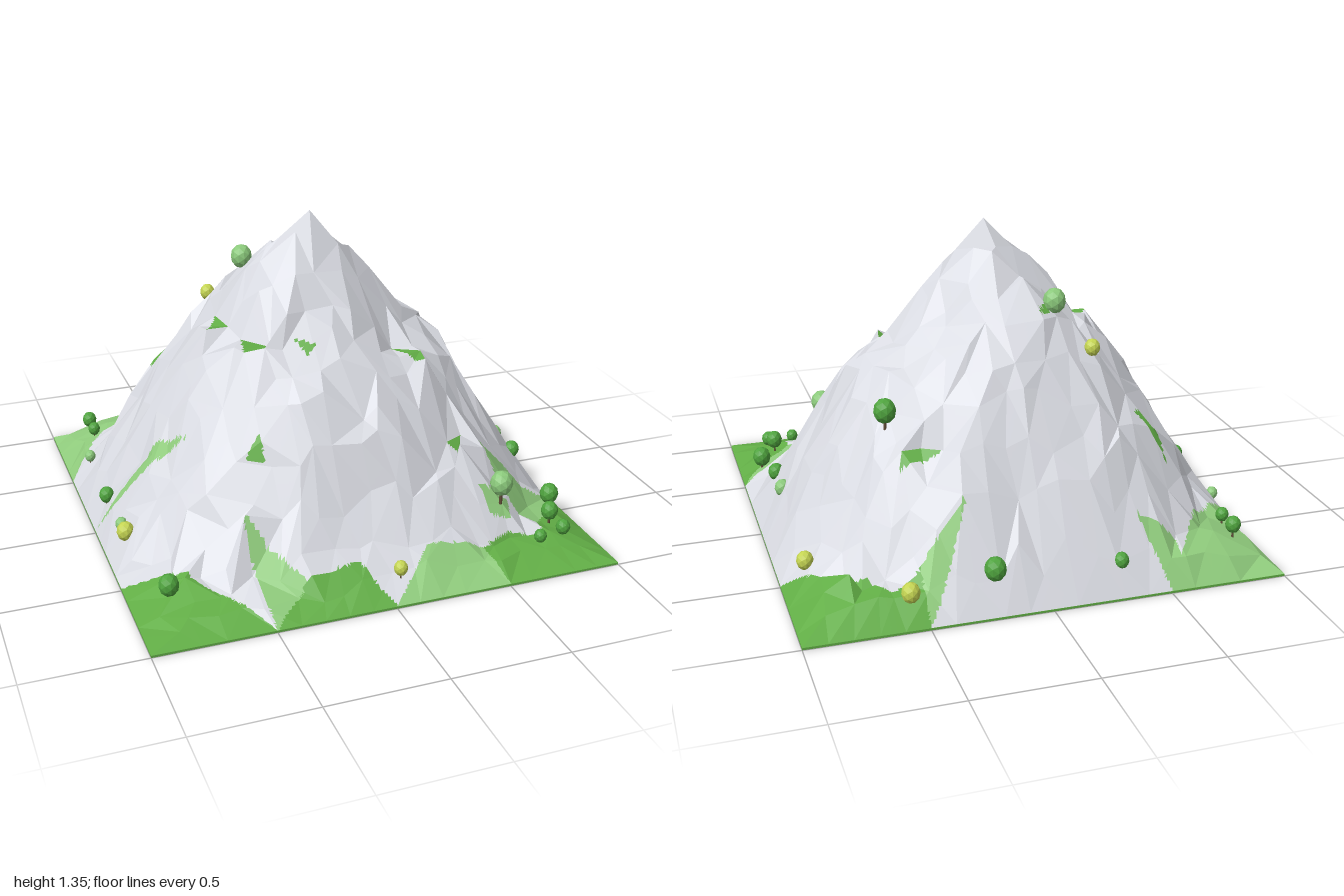
import * as THREE from 'three';

const material = (name, color) => {
  const m = new THREE.MeshStandardMaterial({ color, flatShading: true });
  m.name = name;
  return m;
};

// Small seeded random generator
let seed = 11;
const random = () => {
  seed = (seed * 16807) % 2147483647;
  return seed / 2147483647;
};
const spread = (amount) => (random() * 2 - 1) * amount;

// Slope heights at fixed radii, one row per 45 degrees, from +x towards +z
const RADII = [0, 0.2, 0.4, 0.6, 0.8, 1, 1.42];
const SLOPES = [
  [1.35, 1.14, 0.9, 0.74, 0.38, 0.05, 0.01],
  [1.35, 1.05, 0.78, 0.62, 0.36, 0.12, 0.01],
  [1.35, 1.0, 0.84, 0.6, 0.2, 0.02, 0.01],
  [1.35, 1.1, 0.89, 0.71, 0.4, 0.11, 0.01],
  [1.35, 1.17, 0.94, 0.69, 0.34, 0.05, 0.01],
  [1.35, 1.17, 1.0, 0.78, 0.5, 0.17, 0.01],
  [1.35, 1.19, 1.02, 0.75, 0.38, 0.05, 0.01],
  [1.35, 1.13, 0.9, 0.72, 0.47, 0.15, 0.01],
];
const PEAK_Z = -0.03;

function height(x, z) {
  const r = Math.min(Math.hypot(x, z - PEAK_Z), 1.419);
  const turn = ((Math.atan2(z - PEAK_Z, x) / (Math.PI / 4)) + 8) % 8;
  const a = Math.floor(turn) % 8;
  let k = 0;
  while (r > RADII[k + 1]) k++;
  const t = (r - RADII[k]) / (RADII[k + 1] - RADII[k]);
  const along = (row) => THREE.MathUtils.lerp(row[k], row[k + 1], t);
  const h = THREE.MathUtils.lerp(along(SLOPES[a]), along(SLOPES[(a + 1) % 8]), turn - Math.floor(turn));
  const edge = 1 - Math.max(Math.abs(x), Math.abs(z));
  return Math.max(0.01, Math.min(h, 0.01 + 1.8 * edge));
}

// Meadow outlines and grassy ledges seen from above, as x, z pairs
const LIGHT = [
  [-1, -1, -0.5, -1, -0.41, -0.82, -0.57, -0.85, -0.57, -0.92, -0.72, -0.7, -1, -0.5],
  [0.5, -1, 0.5, -0.84, 0.29, -0.77],
  [1, 0.5, 0.57, 0.51, 0.68, 0.66, 0.76, 0.72],
  [0, 1, 0.2, 0.83, 0.45, 0.84, 0.5, 1],
  [-0.53, 0.64, -0.5, 1, -0.33, 0.86],
  [-1, 0, -0.74, 0.11, -0.65, 0.26],
  [0.51, 0.66, 0.65, 0.66, 0.62, 0.74, 0.53, 0.74],
];
const MID = [
  [0.5, -1, 1, -1, 1, -0.5, 0.8, -0.75, 0.7, -0.79, 0.62, -0.87, 0.5, -0.84],
  [1, 0.5, 0.76, 0.72, 0.76, 0.8, 0.6, 0.78, 0.45, 0.84, 0.5, 1, 1, 1],
  [0, 1, -0.1, 0.84, -0.33, 0.86, -0.5, 1],
  [-1, 0.5, -0.77, 0.65, -0.72, 0.73, -0.5, 1, -1, 1],
  [-0.62, -0.62, -0.5, -0.535, -0.58, -0.5],
  [-0.18, 0.27, -0.09, 0.32, -0.14, 0.34],
  [-0.18, -0.39, -0.11, -0.41, -0.16, -0.36],
  [-0.47, 0.51, -0.4, 0.49, -0.4, 0.55],
];
// Level ledges: height and outline
const LEDGES = [
  { y: 0.565, outline: [0.34, -0.605, 0.52, -0.605, 0.5, -0.565, 0.42, -0.56] },
  { y: 0.89, outline: [-0.4, -0.12, -0.385, 0.02, -0.48, 0.02] },
  { y: 0.865, outline: [-0.36, 0.12, -0.27, 0.24, -0.39, 0.26] },
  { y: 0.765, outline: [0.29, 0.2, 0.4, 0.26, 0.38, 0.36] },
  { y: 0.445, outline: [0.42, 0.52, 0.5, 0.48, 0.46, 0.56] },
];
// Landmark points of the terrain as x, y, z: summit, shoulders, spurs, hollows
const PINS = [
  [0, 1.35, PEAK_Z], [0.27, 1.07, -0.02], [0.2, 0.8, 0.3], [0.6, 0.74, 0.01],
  [-0.02, 1.25, -0.14], [-0.48, 0.86, -0.1], [-0.52, 0.34, 0.66], [0.58, 0.4, 0.54],
  [0.6, 0.21, 0.7], [0.77, 0.17, -0.78], [-0.78, 0.12, 0.68],
];
for (const { y, outline } of LEDGES) {
  for (let i = 0; i < outline.length; i += 2) PINS.push([outline[i], y, outline[i + 1]]);
}

function inside(p, x, z) {
  let hit = false;
  for (let i = 0, j = p.length - 2; i < p.length; j = i, i += 2) {
    if (p[i + 1] > z !== p[j + 1] > z &&
      x < ((p[j] - p[i]) * (z - p[i + 1])) / (p[j + 1] - p[i + 1]) + p[i]) hit = !hit;
  }
  return hit;
}

function ground(x, z) {
  if (LIGHT.some((p) => inside(p, x, z))) return 'lightGrass';
  const mid = MID.some((p) => inside(p, x, z)) || LEDGES.some((l) => inside(l.outline, x, z));
  return mid ? 'grass' : 'rock';
}

// Jittered terrain grid; each facet is subdivided so the meadow edges stay crisp
function buildTerrain() {
  const N = 20, K = 9, grid = [];
  for (let i = 0; i <= N; i++) {
    grid.push([]);
    for (let j = 0; j <= N; j++) {
      let x = -1 + (2 * i) / N, z = -1 + (2 * j) / N, y = 0.01;
      if (Math.min(i, j, N - i, N - j) > 0) {
        x += spread(0.036);
        z += spread(0.036);
        y = height(x, z);
        const rough = Math.min(0.034, y * 0.1, Math.hypot(x, z) * 0.15);
        y = Math.max(0.012, y + spread(rough));
      }
      grid[i].push(new THREE.Vector3(x, y, z));
    }
  }
  for (const [x, y, z] of PINS) {
    grid[Math.round(((x + 1) * N) / 2)][Math.round(((z + 1) * N) / 2)].set(x, y, z);
  }
  const lists = { rock: [], grass: [], lightGrass: [] };
  const facet = (a, b, c) => {
    const at = (u, v) => new THREE.Vector3().copy(a)
      .addScaledVector(b, u / K).addScaledVector(c, v / K).addScaledVector(a, -(u + v) / K);
    const put = (...p) => {
      const kind = ground((p[0].x + p[1].x + p[2].x) / 3, (p[0].z + p[1].z + p[2].z) / 3);
      p.forEach((q) => lists[kind].push(q.x, q.y, q.z));
    };
    for (let u = 0; u < K; u++) {
      for (let v = 0; u + v < K; v++) {
        put(at(u, v), at(u + 1, v), at(u, v + 1));
        if (u + v < K - 1) put(at(u + 1, v), at(u + 1, v + 1), at(u, v + 1));
      }
    }
  };
  for (let i = 0; i < N; i++) {
    for (let j = 0; j < N; j++) {
      const a = grid[i][j], b = grid[i][j + 1], c = grid[i + 1][j + 1], d = grid[i + 1][j];
      if (random() < 0.5) { facet(a, b, d); facet(b, c, d); }
      else { facet(a, b, c); facet(a, c, d); }
    }
  }
  return lists;
}

// Trees: x, crown centre y, z, crown radius, foliage (d dark, l light, y yellow)
const TREES = [
  [-0.305, 0.14, -0.925, 0.032, 'd'], [0.22, 0.18, -0.92, 0.045, 'd'], [0.56, 0.13, -0.92, 0.038, 'y'],
  [-0.85, 0.167, -0.81, 0.033, 'd'], [-0.85, 0.165, -0.705, 0.028, 'd'], [-0.92, 0.146, -0.46, 0.025, 'l'],
  [-0.935, 0.16, -0.035, 0.033, 'd'], [-0.925, 0.14, 0.205, 0.027, 'l'], [-0.925, 0.145, 0.28, 0.038, 'y'],
  [-0.855, 0.125, 0.72, 0.042, 'd'], [0.05, 0.125, 0.91, 0.029, 'y'], [0.59, 0.31, 0.705, 0.049, 'l'],
  [0.825, 0.14, 0.71, 0.037, 'd'], [0.84, 0.108, 0.805, 0.031, 'd'], [0.72, 0.1, 0.83, 0.027, 'd'],
  [0.91, 0.128, 0.55, 0.041, 'd'], [0.893, 0.193, 0.215, 0.035, 'd'], [0.893, 0.193, 0.035, 0.035, 'l'],
  [0.903, 0.135, -0.55, 0.036, 'y'], [0.535, 0.69, -0.43, 0.047, 'd'], [-0.205, 1.065, -0.36, 0.048, 'l'],
  [-0.34, 0.88, -0.455, 0.033, 'y'],
];

export function createModel() {
  seed = 11;
  const model = new THREE.Group();
  model.name = 'mountain';
  const mats = {
    rock: material('rock grey', 0xdadce3),
    grass: material('grass green', 0x62ae46),
    lightGrass: material('light grass green', 0x90cc7d),
    d: material('dark foliage', 0x4fa33e),
    l: material('light foliage', 0x8bc97b),
    y: material('yellow foliage', 0xc4d452),
    trunk: material('trunk brown', 0x5e4a36),
  };
  const add = (name, geometry, mat, parent = model) => {
    const mesh = new THREE.Mesh(geometry, mat);
    mesh.name = name;
    parent.add(mesh);
    return mesh;
  };

  // Base slab
  add('baseSlab', new THREE.BoxGeometry(2, 0.009, 2), mats.grass).position.y = 0.0045;

  // Rock slopes and meadows
  for (const [kind, points] of Object.entries(buildTerrain())) {
    const geometry = new THREE.BufferGeometry();
    geometry.setAttribute('position', new THREE.Float32BufferAttribute(points, 3));
    geometry.computeVertexNormals();
    add(kind === 'rock' ? 'rockSlopes' : kind + 'Meadows', geometry, mats[kind]);
  }

  // Trees with round crowns
  const crown = new THREE.IcosahedronGeometry(1, 1);
  for (const [x, y, z, r, leaf] of TREES) {
    const tree = new THREE.Group();
    tree.name = 'tree';
    tree.position.set(x, y, z);
    add('crown', crown, mats[leaf], tree).scale.set(r, r * 1.15, r);
    const length = r * 2;
    add('trunk', new THREE.CylinderGeometry(r * 0.1, r * 0.15, length, 6), mats.trunk, tree).position.y = -length / 2;
    model.add(tree);
  }
  return model;
}
